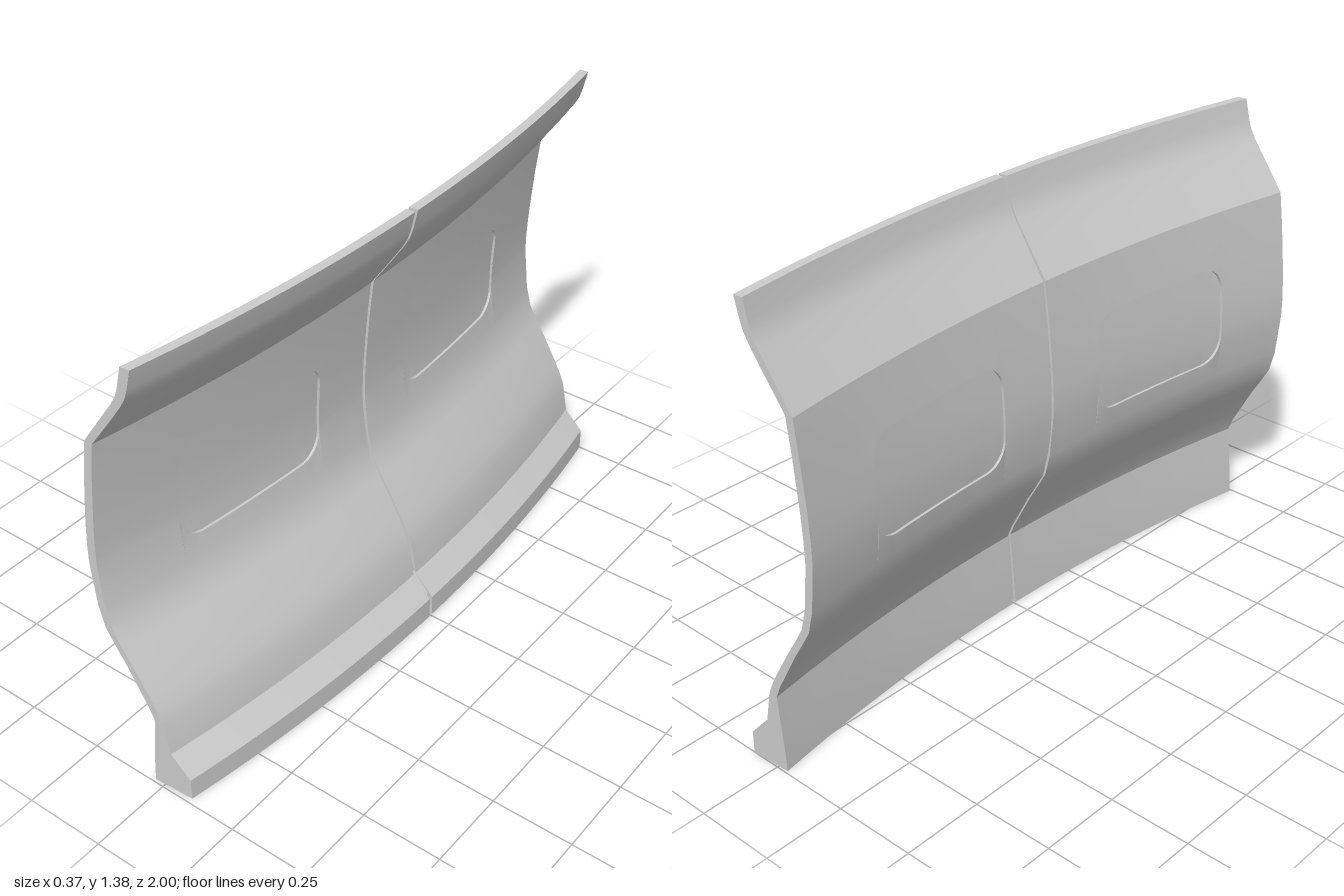
import * as THREE from 'three';
import { toCreasedNormals } from 'three/addons/utils/BufferGeometryUtils.js';

// Cross-section at mid length: [height, outer x, inner x]
const PROFILE = [
  [0, 0.055, 0.182], [0.07, 0.059, 0.182], [0.135, 0.065, 0.12], [0.235, 0.075, 0.102],
  [0.275, 0.059, 0.086], [0.32, 0.035, 0.063], [0.4, -0.006, 0.018], [0.45, -0.031, -0.012],
  [0.5, -0.053, -0.04], [0.57, -0.078, -0.057], [0.64, -0.09, -0.067], [0.7, -0.095, -0.07],
  [0.77, -0.095, -0.069], [0.85, -0.09, -0.064], [0.95, -0.081, -0.055], [1.0, -0.075, -0.05],
  [1.11, -0.06, -0.036], [1.2, 0.0, 0.028], [1.26, 0.041, 0.069], [1.29, 0.058, 0.086],
  [1.32, 0.067, 0.096], [1.38, 0.081, 0.11],
];
PROFILE.forEach((p) => { p[1] = Math.min(p[1], p[2] - 0.025); }); // minimum wall thickness

const HALF = 0.992, GAP = 0.006, BOW = 0.09, SKEW = 0.06;
const WIN = { c: 0.465, hw: 0.265, lo: 0.63, hi: 0.945, r: 0.075, depth: 0.008 };

// Profile x at a height; col 1 = outer, 2 = inner
function profileX(y, col) {
  let i = 1;
  while (i < PROFILE.length - 1 && PROFILE[i][0] < y) i++;
  const a = PROFILE[i - 1], b = PROFILE[i];
  return THREE.MathUtils.mapLinear(y, a[0], b[0], a[col], b[col]);
}

// Point on the bowed wall; depth sinks it below the surface
function wallPoint(s, y, col, depth) {
  const p = profileX(y, col);
  const x = p + (col === 1 ? depth : -depth) - BOW * s * s;
  return new THREE.Vector3(x, y, s - SKEW * Math.abs(s) * (p - 0.04));
}

// Rows of one column as [height, depth], bent around the rounded window
function windowRows(s, inside) {
  const d = Math.min(WIN.r, Math.max(0, Math.abs(Math.abs(s) - WIN.c) - (WIN.hw - WIN.r)));
  const rise = WIN.r - Math.sqrt(WIN.r * WIN.r - d * d);
  const lo = WIN.lo + rise, hi = WIN.hi - rise, sunk = inside ? WIN.depth : 0;
  const rows = PROFILE.filter((p) => p[0] <= 0.57).map((p) => [p[0], 0]);
  rows.push([lo, 0]);
  for (let k = 0; k <= 6; k++) rows.push([lo + (hi - lo) * k / 6, sunk]);
  rows.push([hi, 0]);
  PROFILE.filter((p) => p[0] >= 1).forEach((p) => rows.push([p[0], 0]));
  return rows;
}

// Column stations of one half; the window's side edges are doubled to make walls
function stations() {
  const list = [];
  const add = (s, inside = false) => list.push({ s, inside });
  const span = (a, b, n) => { for (let k = 0; k <= n; k++) add(a + (b - a) * k / n); };
  span(GAP, WIN.c - WIN.hw, 4);
  const angles = [0, 1, 2, 3, 4, 5, 6].map((k) => WIN.r * (1 - Math.cos(k * Math.PI / 12)));
  angles.forEach((a) => add(WIN.c - WIN.hw + a, true));
  for (let k = 1; k < 8; k++) add(WIN.c + (WIN.hw - WIN.r) * (k / 4 - 1), true);
  angles.reverse().forEach((a) => add(WIN.c + WIN.hw - a, true));
  span(WIN.c + WIN.hw, HALF, 6);
  return list;
}

// Skin a series of columns {inner, outer} running towards +z into a closed solid
function skin(columns) {
  const pos = [], ab = new THREE.Vector3(), ac = new THREE.Vector3();
  const tri = (a, b, c) => {
    ab.subVectors(b, a);
    ac.subVectors(c, a);
    if (ab.cross(ac).length() > 1e-10) for (const v of [a, b, c]) pos.push(v.x, v.y, v.z);
  };
  const quad = (a, b, c, d) => { tri(a, b, c); tri(a, c, d); };
  const loops = columns.map((c) => [...c.inner, ...[...c.outer].reverse()]);
  const m = loops[0].length;
  for (let i = 0; i < loops.length - 1; i++) {
    const p = loops[i], q = loops[i + 1];
    for (let j = 0; j < m; j++) {
      const k = (j + 1) % m;
      quad(p[j], p[k], q[k], q[j]);
    }
  }
  // End caps
  const first = columns[0], last = columns[columns.length - 1];
  for (let k = 0; k < m / 2 - 1; k++) {
    quad(last.inner[k], last.inner[k + 1], last.outer[k + 1], last.outer[k]);
    quad(first.outer[k], first.outer[k + 1], first.inner[k + 1], first.inner[k]);
  }
  const geo = new THREE.BufferGeometry();
  geo.setAttribute('position', new THREE.Float32BufferAttribute(pos, 3));
  return toCreasedNormals(geo, 0.4);
}

const makeColumn = (s, rows) => ({
  inner: rows.map(([y, d]) => wallPoint(s, y, 2, d)),
  outer: rows.map(([y, d]) => wallPoint(s, y, 1, d)),
});

export function createModel() {
  const group = new THREE.Group();
  group.name = 'curvedWallPanel';
  const material = new THREE.MeshStandardMaterial({ color: 0xcccccc });
  const add = (name, columns) => {
    const mesh = new THREE.Mesh(skin(columns), material);
    mesh.name = name;
    group.add(mesh);
  };

  // Two wall halves, each with a recessed window on both faces
  for (const side of [1, -1]) {
    const cols = stations().map(({ s, inside }) => makeColumn(side * s, windowRows(side * s, inside)));
    if (side < 0) cols.reverse();
    add(side > 0 ? 'frontWallHalf' : 'rearWallHalf', cols);
  }

  // Sunken strip that fills the seam between the halves
  const inset = 0.008, top = PROFILE[PROFILE.length - 1][0];
  const rows = PROFILE.map((p) => [inset + p[0] * (top - 2 * inset) / top, inset]);
  add('seamStrip', [-GAP, GAP].map((s) => makeColumn(s, rows)));
  return group;
}
